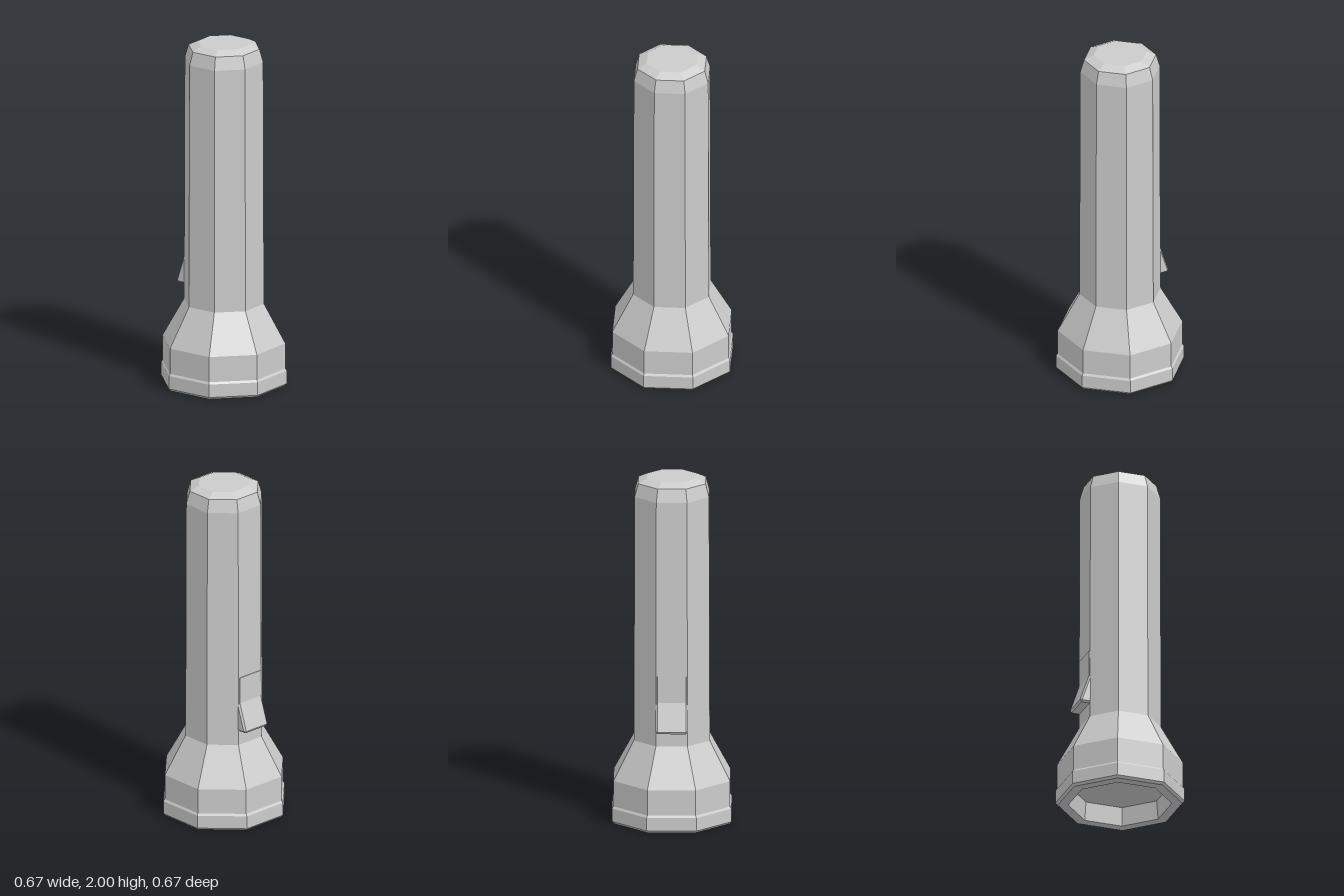
import * as THREE from 'three';

const material = new THREE.MeshStandardMaterial({ color: 0xcccccc, flatShading: true });

// Octagonal part from [distance to flat side, height] pairs, with a flat facing front
function octagon(name, profile) {
  const toCorner = 1 / Math.cos(Math.PI / 8);
  const points = profile.map(([r, y]) => new THREE.Vector2(r * toCorner, y));
  const mesh = new THREE.Mesh(new THREE.LatheGeometry(points, 8, Math.PI / 8), material);
  mesh.name = name;
  return mesh;
}

// Sliding switch: a thin plate with a thumb wedge, extruded across the back flat
function createSwitch() {
  const shape = new THREE.Shape([
    [0.19, 0.56], [0.262, 0.56], [0.27, 0.573],
    [0.217, 0.73], [0.217, 0.885], [0.19, 0.885],
  ].map(([out, y]) => new THREE.Vector2(out, y)));
  const geometry = new THREE.ExtrudeGeometry(shape, {
    depth: 0.16, bevelEnabled: true, bevelSegments: 1,
    bevelThickness: 0.01, bevelSize: 0.01, bevelOffset: -0.01,
  });
  geometry.translate(0, 0, -0.08).rotateY(Math.PI / 2);
  const mesh = new THREE.Mesh(geometry, material);
  mesh.name = 'switch';
  return mesh;
}

export function createModel() {
  const group = new THREE.Group();
  group.name = 'flashlight';
  group.add(
    // Recessed lens at the bottom
    octagon('lens', [[0, 0.11], [0.26, 0.11]]),
    // Bezel ring: inner wall, rim and chamfered outside
    octagon('bezel', [[0.26, 0.11], [0.27, 0], [0.325, 0], [0.337, 0.014], [0.337, 0.09], [0.329, 0.102]]),
    // Flared head
    octagon('head', [[0.329, 0.102], [0.329, 0.25], [0.214, 0.475]]),
    // Long grip
    octagon('body', [[0.214, 0.475], [0.21, 1.9]]),
    // Chamfered end cap
    octagon('endCap', [[0.21, 1.9], [0.19, 1.975], [0.14, 2], [0, 2]]),
    createSwitch(),
  );
  return group;
}
